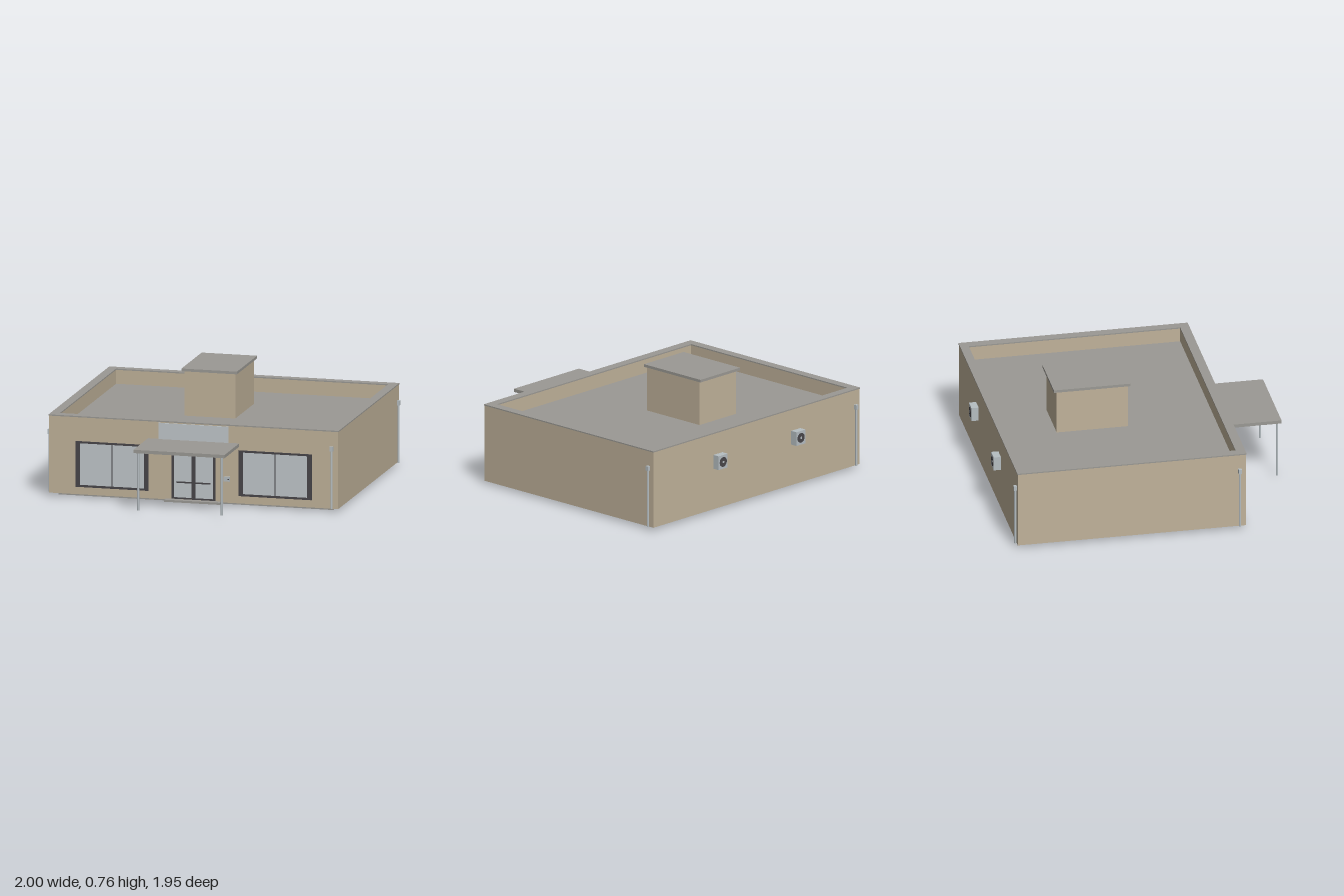
import * as THREE from 'three';

export function createModel() {
  const root = new THREE.Group();
  const mat = (name, color) => {
    const m = new THREE.MeshStandardMaterial({ color });
    m.name = name;
    return m;
  };
  const wall = mat('beige wall', 0xc0b29a);
  const roof = mat('roof grey', 0x9b9994);
  const glass = mat('pale glass', 0xc0c7ca);
  const metal = mat('light metal', 0xb6bec2);
  const frame = mat('dark frame', 0x48464a);

  const add = (name, geo, material, parent = root) => {
    const m = new THREE.Mesh(geo, material);
    m.name = name;
    parent.add(m);
    return m;
  };
  // Box given by its limits on each axis
  const box = (name, x0, x1, y0, y1, z0, z1, material, parent) => {
    const g = new THREE.BoxGeometry(x1 - x0, y1 - y0, z1 - z0);
    g.translate((x0 + x1) / 2, (y0 + y1) / 2, (z0 + z1) / 2);
    return add(name, g, material, parent);
  };
  const rect = (C, x0, x1, y0, y1) =>
    new C([[x0, y0], [x1, y0], [x1, y1], [x0, y1]].map(p => new THREE.Vector2(...p)));
  // Rectangular ring; outer and inner are [x0, x1, y0, y1]
  const ring = (outer, inner, depth) => {
    const s = rect(THREE.Shape, ...outer);
    s.holes.push(rect(THREE.Path, ...inner));
    return new THREE.ExtrudeGeometry(s, { depth, bevelEnabled: false });
  };

  const F = 0.602, B = -0.922; // front and back wall planes

  // Main block
  box('foundation', -0.93, 0.93, 0, 0.02, -0.87, 0.55, roof);
  box('walls', -0.98, 0.98, 0.02, 0.44, B, F, wall);
  box('roofDeck', -0.93, 0.93, 0.436, 0.443, -0.87, 0.55, roof);

  // Parapet and coping, laid flat around the roof
  const flatRing = (name, y, h, o, material) => {
    const g = ring([-0.98 - o, 0.98 + o, -F - o, -B + o], [-0.922, 0.922, -0.543, 0.868], h);
    g.rotateX(-Math.PI / 2);
    g.translate(0, y, 0);
    add(name, g, material);
  };
  flatRing('parapet', 0.44, 0.096, 0, wall);
  flatRing('coping', 0.536, 0.008, 0.003, roof);

  // Roof stair house
  box('roofHouse', -0.235, 0.11, 0.44, 0.742, -0.513, -0.037, wall);
  box('roofHouseCap', -0.252, 0.124, 0.742, 0.76, -0.535, -0.025, roof);

  // Front windows
  for (const s of [-1, 1]) {
    const win = new THREE.Group();
    win.name = s > 0 ? 'windowLeft' : 'windowRight';
    root.add(win);
    const c = s * 0.5525;
    const g = ring([c - 0.248, c + 0.248, 0.07, 0.376], [c - 0.218, c + 0.218, 0.084, 0.363], 0.006);
    g.translate(0, 0, F);
    add('windowFrame', g, frame, win);
    box('windowGlass', c - 0.22, c + 0.22, 0.082, 0.365, F - 0.002, F + 0.002, glass, win);
    box('windowMullion', c - 0.003, c + 0.003, 0.084, 0.363, F, F + 0.005, frame, win);
  }

  // Double entrance door
  const door = new THREE.Group();
  door.name = 'entranceDoor';
  root.add(door);
  const dg = ring([-0.147, 0.147, 0.028, 0.354], [-0.133, 0.133, 0.038, 0.34], 0.007);
  dg.translate(0, 0, F);
  add('doorFrame', dg, frame, door);
  box('doorGlass', -0.135, 0.135, 0.036, 0.342, F - 0.002, F + 0.002, glass, door);
  box('doorCentre', -0.012, 0.012, 0.038, 0.34, F, F + 0.006, frame, door);
  for (const s of [-1, 1])
    box('pushBar', s * 0.065 - 0.05, s * 0.065 + 0.05, 0.136, 0.145, F, F + 0.009, frame, door);
  box('doorStep', -0.19, 0.19, 0.012, 0.026, 0.55, 0.645, roof);

  // Entrance canopy with two front posts
  box('canopy', -0.309, 0.309, 0.4, 0.422, F - 0.002, 0.973, roof);
  for (const s of [-1, 1]) {
    const p = new THREE.CylinderGeometry(0.0075, 0.0075, 0.39, 12);
    p.translate(s * 0.283, 0.207, 0.948);
    add('canopyPost', p, metal);
  }
  box('signPanel', -0.237, 0.237, 0.422, 0.53, F, F + 0.007, glass);

  // Wall lights beside the door
  for (const s of [-1, 1]) {
    const lamp = new THREE.CylinderGeometry(0.017, 0.011, 0.014, 16);
    lamp.translate(s * 0.195, 0.335, F + 0.018);
    add('wallLight', lamp, metal);
    box('wallLightArm', s * 0.195 - 0.005, s * 0.195 + 0.005, 0.33, 0.34, F, F + 0.012, metal);
  }

  // Entry panel
  box('entryPanel', 0.205, 0.246, 0.163, 0.195, F, F + 0.009, metal);
  box('entryPanelButton', 0.234, 0.241, 0.175, 0.182, F + 0.009, F + 0.011, frame);

  // Rain pipes with square hopper heads
  for (const [x, z] of [[0.936, F + 0.009], [0.989, -0.882], [-0.989, 0.56], [-0.94, B - 0.009]]) {
    const pipe = new THREE.CylinderGeometry(0.0075, 0.0075, 0.39, 12);
    pipe.translate(x, 0.215, z);
    add('rainPipe', pipe, metal);
    box('rainHead', x - 0.011, x + 0.011, 0.406, 0.437, z - 0.011, z + 0.011, metal);
  }

  // Rear air conditioners
  for (const x of [-0.373, 0.367]) {
    const unit = new THREE.Group();
    unit.name = 'airConditioner';
    root.add(unit);
    box('unitCase', x - 0.043, x + 0.043, 0.298, 0.392, -0.97, B, metal, unit);
    const fan = new THREE.CylinderGeometry(0.033, 0.033, 0.003, 24);
    fan.rotateX(Math.PI / 2);
    fan.translate(x, 0.345, -0.9705);
    add('fanOpening', fan, frame, unit);
    const hub = new THREE.CylinderGeometry(0.008, 0.008, 0.002, 12);
    hub.rotateX(Math.PI / 2);
    hub.translate(x, 0.345, -0.9722);
    add('fanHub', hub, metal, unit);
  }

  return root;
}
